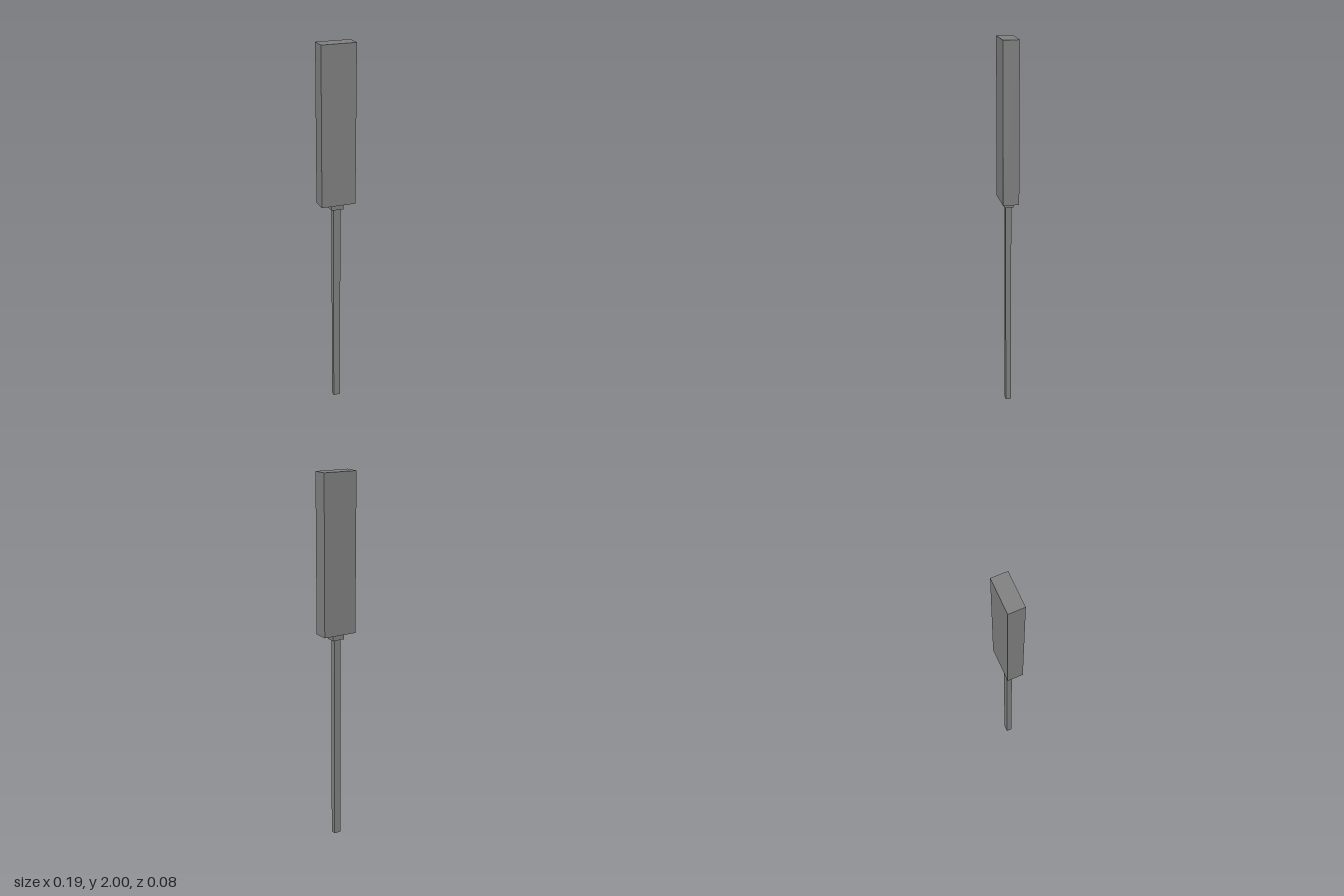
import * as THREE from 'three';

export function createModel() {
  const model = new THREE.Group();
  const gray = new THREE.MeshStandardMaterial({ color: 0x808080 });
  gray.name = 'gray';

  // Box standing between two heights on the central axis
  const addBlock = (name, width, depth, bottom, top) => {
    const mesh = new THREE.Mesh(new THREE.BoxGeometry(width, top - bottom, depth), gray);
    mesh.name = name;
    mesh.position.y = (bottom + top) / 2;
    model.add(mesh);
  };

  addBlock('shaft', 0.038, 0.03, 0, 1.133);
  addBlock('collar', 0.068, 0.048, 1.133, 1.163);
  addBlock('head', 0.185, 0.084, 1.163, 2);

  return model;
}
